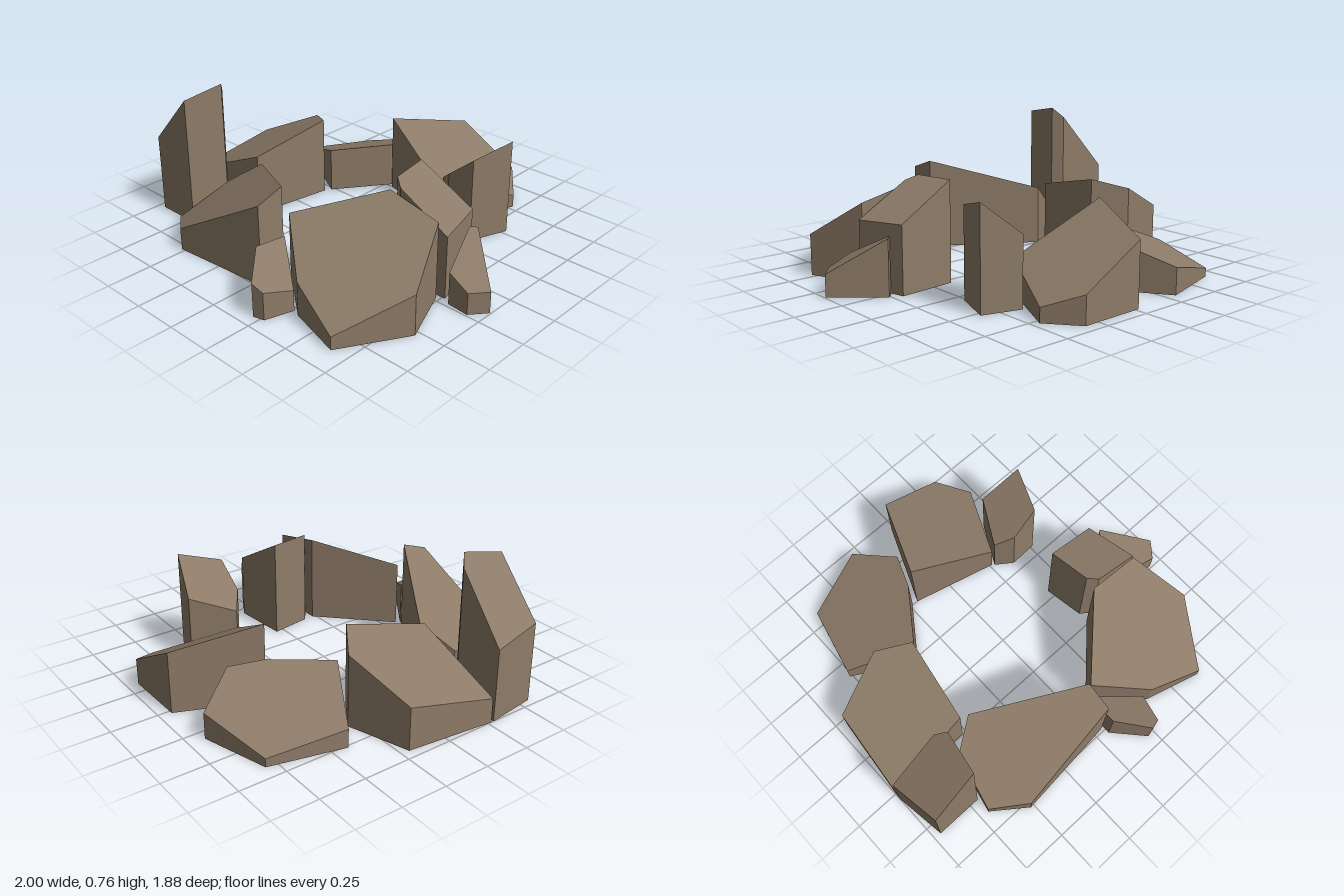
import * as THREE from 'three';

// Each stone: footprint corners [x, z] and a tilted top, y = h + b*(x - x0) + c*(z - z0),
// measured from the first corner (x0, z0).
const stones = [
  { name: 'backRightStone', h: 0.045, b: 0.328, c: 0.218,
    plan: [[-0.67, -0.81], [-0.31, -0.915], [-0.155, -0.69], [-0.225, -0.515], [-0.43, -0.23], [-0.765, -0.415]] },
  { name: 'backStone', h: 0.335, b: -0.543, c: 0,
    plan: [[-0.02, -0.935], [0.33, -0.94], [0.46, -0.78], [0.265, -0.38], [-0.2, -0.5]] },
  { name: 'backLeftSmallStone', h: 0.36, b: 0.82, c: 0.026,
    plan: [[0.39, -0.59], [0.595, -0.53], [0.515, -0.31], [0.365, -0.305], [0.275, -0.37]] },
  { name: 'leftStone', h: 0.53, b: -0.56, c: 0.076,
    plan: [[0.39, -0.045], [0.7, -0.07], [0.765, 0.205], [0.48, 0.215], [0.425, 0.175]] },
  { name: 'leftOuterSmallStone', h: 0.292, b: -0.45, c: -0.36,
    plan: [[0.76, -0.04], [0.995, 0.155], [0.925, 0.24], [0.805, 0.23], [0.73, -0.01]] },
  { name: 'frontLeftStone', h: 0.48, b: -0.217, c: -0.565,
    plan: [[0.43, 0.23], [0.73, 0.23], [0.855, 0.53], [0.655, 0.87], [0.355, 0.785], [0.085, 0.575]] },
  { name: 'frontSmallStone', h: 0.235, b: -0.55, c: 0.07,
    plan: [[0.07, 0.595], [0.315, 0.77], [0.27, 0.92], [0.21, 0.935], [0.065, 0.775]] },
  { name: 'frontRightStone', h: 0.322, b: 0.537, c: -0.33,
    plan: [[-0.475, 0.255], [0.05, 0.585], [0.045, 0.735], [-0.52, 0.785], [-0.7, 0.65], [-0.635, 0.355]] },
  { name: 'tallRightStone', h: 0.39, b: 1.1, c: -0.01,
    plan: [[-1, 0.285], [-0.715, 0.3], [-0.665, 0.345], [-0.7, 0.565], [-0.96, 0.565]] },
  { name: 'rightStone', h: 0.23, b: 0.431, c: -0.159,
    plan: [[-0.95, -0.205], [-0.62, -0.31], [-0.45, -0.195], [-0.52, 0.245], [-1, 0.27]] },
];

// Upright prism whose upper corners are dropped onto the tilted top plane
function stoneGeometry({ plan, h, b, c }) {
  const [x0, z0] = plan[0];
  const shape = new THREE.Shape(plan.map(([x, z]) => new THREE.Vector2(x, -z)));
  const geometry = new THREE.ExtrudeGeometry(shape, { depth: 1, bevelEnabled: false });
  geometry.rotateX(-Math.PI / 2);
  const pos = geometry.attributes.position;
  for (let i = 0; i < pos.count; i++) {
    const top = h + b * (pos.getX(i) - x0) + c * (pos.getZ(i) - z0);
    pos.setY(i, pos.getY(i) > 0.5 ? top : 0);
  }
  geometry.computeVertexNormals();
  return geometry;
}

export function createModel() {
  const group = new THREE.Group();
  group.name = 'stoneRing';
  const stone = new THREE.MeshStandardMaterial({ color: 0x8d7b68 });
  stone.name = 'brown stone';
  for (const s of stones) {
    const mesh = new THREE.Mesh(stoneGeometry(s), stone);
    mesh.name = s.name;
    group.add(mesh);
  }
  return group;
}
